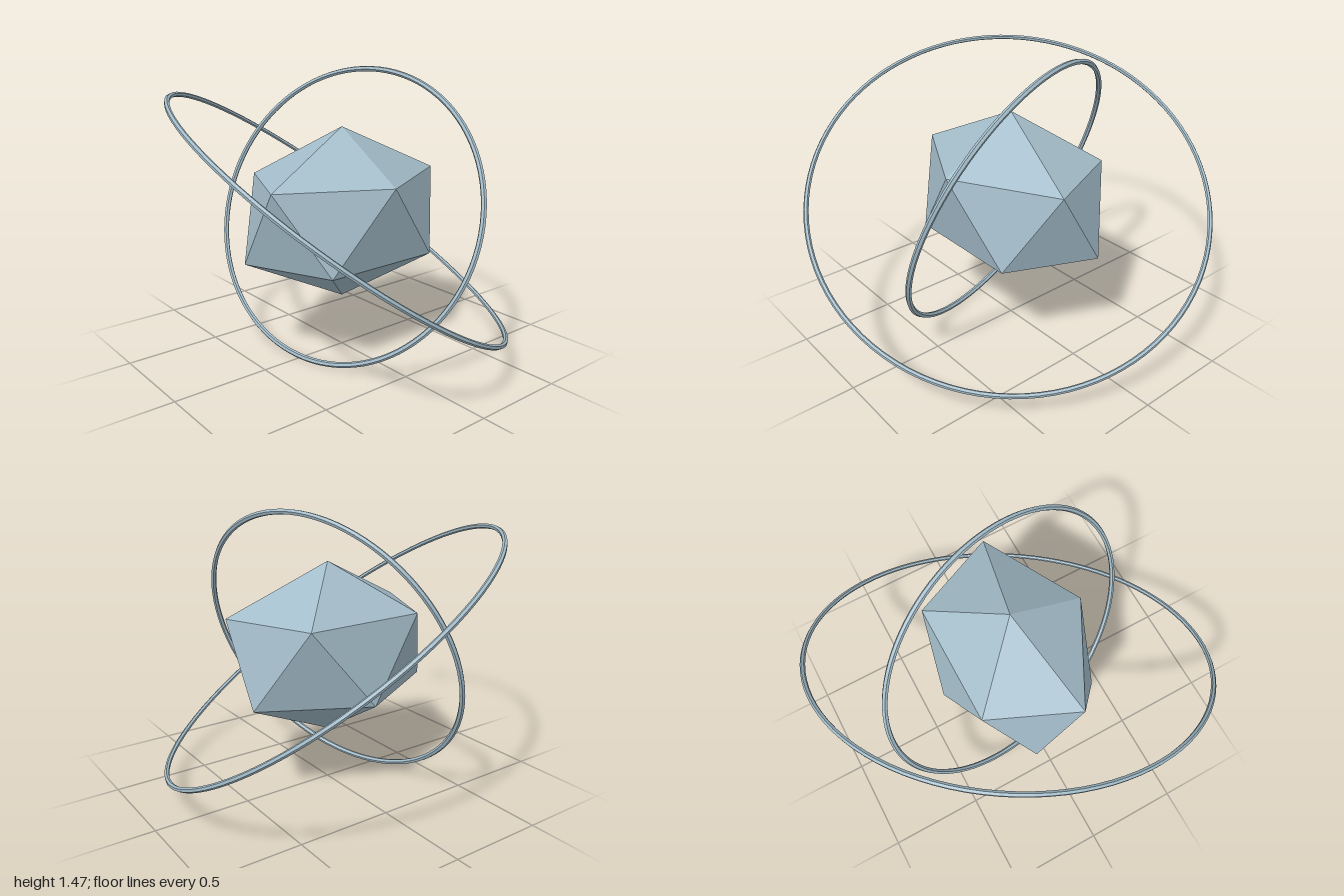
import * as THREE from 'three';

const CENTER_Y = 0.745;

// Twenty-sided gem with a vertex pointing straight up, stretched front to back
function createGem(material) {
  const radius = 0.453;
  const ringRadius = radius * 2 / Math.sqrt(5);
  const ringY = radius / Math.sqrt(5);
  const vertex = (step, y) => {
    const a = step * Math.PI / 5;
    return [Math.cos(a) * ringRadius, y, Math.sin(a) * ringRadius * 1.35];
  };
  const top = [0, radius, 0];
  const bottom = [0, -radius, 0];
  const points = [];
  for (let i = 0; i < 5; i++) {
    const u0 = vertex(2 * i, ringY), u1 = vertex(2 * i + 2, ringY);
    const l0 = vertex(2 * i + 1, -ringY), l1 = vertex(2 * i + 3, -ringY);
    points.push(...top, ...u1, ...u0);
    points.push(...u0, ...u1, ...l0);
    points.push(...u1, ...l1, ...l0);
    points.push(...bottom, ...l0, ...l1);
  }
  const geometry = new THREE.BufferGeometry();
  geometry.setAttribute('position', new THREE.Float32BufferAttribute(points, 3));
  geometry.computeVertexNormals();
  const gem = new THREE.Mesh(geometry, material);
  gem.name = 'gem';
  return gem;
}

// Thin faceted hoop whose axis points along the given normal
function createRing(name, radius, tube, normal, material) {
  const ring = new THREE.Mesh(new THREE.TorusGeometry(radius, tube, 6, 96), material);
  ring.quaternion.setFromUnitVectors(new THREE.Vector3(0, 0, 1), normal.normalize());
  ring.name = name;
  return ring;
}

export function createModel() {
  const steel = new THREE.MeshStandardMaterial({ color: 0xa3bcc9, flatShading: true });
  steel.name = 'pale steel blue';

  const model = new THREE.Group();
  model.name = 'orbitedGem';
  const body = new THREE.Group();
  body.name = 'gemAndRings';
  body.position.y = CENTER_Y;
  body.add(
    createGem(steel),
    createRing('outerRing', 1.044, 0.013, new THREE.Vector3(0.332, 0.812, -0.482), steel),
    createRing('innerRing', 0.775, 0.0145, new THREE.Vector3(0.27, 0.365, 0.891), steel)
  );
  model.add(body);
  return model;
}
